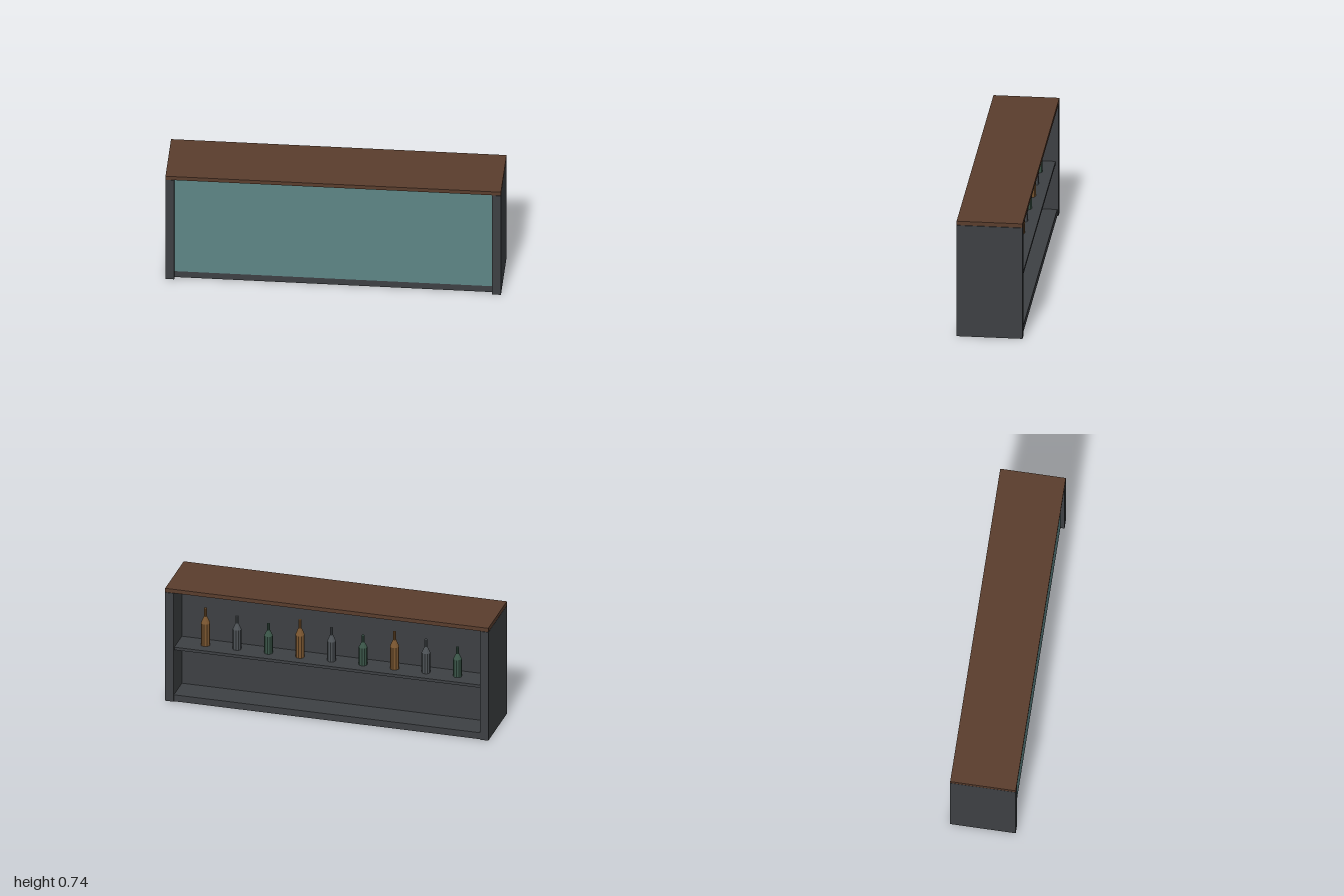
import * as THREE from 'three';

const mat = (color, extra = {}) => new THREE.MeshStandardMaterial({ color, ...extra });

export function createModel() {
  const group = new THREE.Group();
  const grey = mat(0x3d4043), wood = mat(0x5a3d2d), teal = mat(0x5d8585);

  // Box given by its [min, max] extents on each axis
  function box(name, [x0, x1], [y0, y1], [z0, z1], material) {
    const mesh = new THREE.Mesh(new THREE.BoxGeometry(x1 - x0, y1 - y0, z1 - z0), material);
    mesh.position.set((x0 + x1) / 2, (y0 + y1) / 2, (z0 + z1) / 2);
    mesh.name = name;
    group.add(mesh);
  }

  // Carcass
  const inner = [-0.948, 0.948];
  box('counterTop', [-1, 1], [0.712, 0.737], [-0.197, 0.197], wood);
  box('leftSide', [0.948, 1], [0, 0.71], [-0.197, 0.197], grey);
  box('rightSide', [-1, -0.948], [0, 0.71], [-0.197, 0.197], grey);
  box('core', inner, [0.042, 0.71], [-0.02, 0.155], grey);
  box('frontPanel', inner, [0.042, 0.71], [0.155, 0.172], teal);
  box('kickBoard', inner, [0, 0.042], [0.1, 0.172], grey);

  // Open back: floor and bottle shelf
  box('floor', inner, [0, 0.042], [-0.19, 0.07], grey);
  box('shelf', inner, [0.332, 0.35], [-0.18, -0.02], grey);

  // Bottles: three kinds repeating along the shelf
  const kinds = [
    { h: 0.24, r: 0.028, material: mat(0x7a5630, { flatShading: true }) },
    { h: 0.215, r: 0.026, material: mat(0x4d5256, { flatShading: true }) },
    { h: 0.19, r: 0.026, material: mat(0x3a5548, { flatShading: true }) },
  ];
  for (const kind of kinds) {
    const { h, r } = kind;
    const profile = [[0, 0], [r, 0], [r, 0.6 * h], [0.36 * r, 0.78 * h], [0.36 * r, h], [0, h]];
    kind.geometry = new THREE.LatheGeometry(profile.map(([x, y]) => new THREE.Vector2(x, y)), 10);
  }
  for (let i = 0; i < 9; i++) {
    const { geometry, material } = kinds[i % 3];
    const bottle = new THREE.Mesh(geometry, material);
    bottle.name = 'bottle' + (i + 1);
    bottle.position.set(0.78 - i * 0.195, 0.35, -0.095);
    group.add(bottle);
  }
  return group;
}
